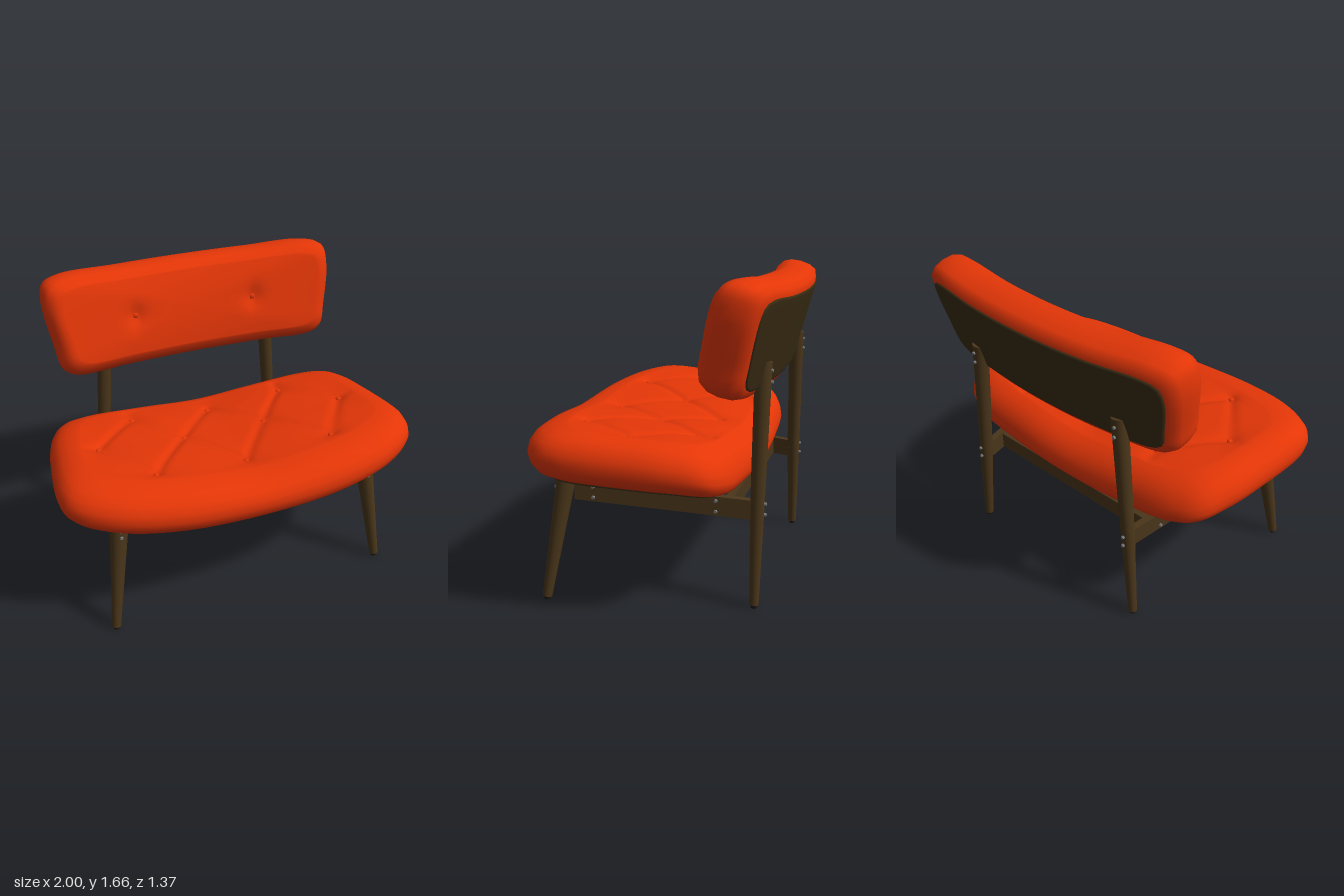
import * as THREE from 'three';
import { mergeVertices } from 'three/addons/utils/BufferGeometryUtils.js';

const material = (color) => new THREE.MeshStandardMaterial({ color });
const red = material(0xe43607), wood = material(0x4a361a), shellWood = material(0x3a2c14);
const steel = material(0x777777), cloth = material(0xb0a8a4), rubber = material(0x1c1812);
const V = (x, y, z) => new THREE.Vector3(x, y, z);

// Closed, left-right symmetric outline from points of its +x half
function outline(half, n) {
  const mirrored = half.slice(1, -1).reverse().map(([x, y]) => [-x, y]);
  const pts = [...half, ...mirrored].map(([x, y]) => V(x, y, 0));
  return new THREE.CatmullRomCurve3(pts, true, 'centripetal').getSpacedPoints(n).slice(0, n);
}

// Padded or flat slab: rings of the outline follow a rim of [inset, height],
// closed by caps; place(a, b, h, w) bends it, w = 1 well inside the upper cap
function slab(half, { size, rim, low, high, n = 96, capRings = 8 }, place) {
  const line = outline(half, n), rings = [], pos = [], idx = [];
  const add = ([d, h], k, w) => rings.push({ sx: (1 - d / size[0]) * k, sy: (1 - d / size[1]) * k, h, w });
  const first = rim[0], last = rim[rim.length - 1];
  for (let i = 0; i < 6; i++) add([first[0], low + (first[1] - low) * (i / 6) ** 2], i / 6, 0);
  rim.forEach((p) => add(p, 1, 0));
  for (let i = 1; i <= capRings; i++) {
    const t = i / capRings;
    add([last[0], last[1] + (high - last[1]) * (1 - (1 - t) ** 2)], 1 - t, Math.min(1, t * 8));
  }
  for (const r of rings) for (const p of line) pos.push(...place(p.x * r.sx, p.y * r.sy, r.h, r.w));
  for (let i = 0; i < rings.length - 1; i++) {
    for (let j = 0; j < n; j++) {
      const a = i * n + j, b = i * n + (j + 1) % n;
      idx.push(a, b, a + n, b, b + n, a + n);
    }
  }
  const g = new THREE.BufferGeometry();
  g.setAttribute('position', new THREE.Float32BufferAttribute(pos, 3));
  g.setIndex(idx);
  const merged = mergeVertices(g, 1e-5);
  merged.computeVertexNormals();
  return merged;
}

// Tuft buttons of the seat, row by row, and the diamond pleats joining them
const rows = [[-0.46, 0, 0.46], [-0.72, -0.24, 0.24, 0.72], [-0.5, 0, 0.5]];
const rowZ = [-0.21, 0.065, 0.385];
const tufts = rows.flatMap((r, k) => r.map((x) => [x, rowZ[k]]));
const pleats = [];
for (const k of [0, 2]) {
  rows[k].forEach((x, i) => {
    for (const j of [i, i + 1]) pleats.push([x, rowZ[k], rows[1][j], rowZ[1]]);
  });
}
for (const s of [-1, 1]) pleats.push([s * 0.46, -0.21, s * 0.47, -0.36], [s * 0.72, 0.065, s * 0.94, 0.03]);

function segmentDistance(x, z, [ax, az, bx, bz]) {
  const dx = bx - ax, dz = bz - az;
  const t = THREE.MathUtils.clamp(((x - ax) * dx + (z - az) * dz) / (dx * dx + dz * dz), 0, 1);
  return Math.hypot(x - ax - t * dx, z - az - t * dz);
}
const dip = (d, width) => Math.exp(-((d / width) ** 2));
function seatDent(x, z) {
  const crease = Math.min(...pleats.map((p) => segmentDistance(x, z, p)));
  const tuft = Math.min(...tufts.map(([a, b]) => Math.hypot(x - a, z - b)));
  return 0.012 * dip(crease, 0.025) + 0.02 * Math.exp(-tuft / 0.07);
}

// Dished seat surface dropping towards the back, thinner along its middle
const seatMid = (x, z) => 0.725 + 0.07 * z + 0.075 * x * x - 0.35 * Math.max(0, -0.15 - z) ** 2;
const seatPlace = (x, z, h, w) => {
  const depth = h < 0 ? h * (1 + 0.2 * z) : h * (1 - 0.15 * dip(x, 0.25));
  return [x, seatMid(x, z) + depth - (w ? w * seatDent(x, z) : 0), z];
};

// Backrest plane: leaning back, with the ends curving forward
const LEAN = 0.262, C = Math.cos(LEAN), S = Math.sin(LEAN);
const backDent = (x, v) => {
  const dx = Math.abs(x) - 0.35;
  return 0.018 * dip(Math.hypot(dx, v), 0.06) + 0.01 * dip(dx, 0.02) * dip(v, 0.08);
};
const backPlace = (x, v, h, w) => {
  const d = h - w * backDent(x, v);
  return [x, 1.372 + v * C + d * S, -0.505 - v * S + d * C + 0.128 * x * x];
};

export function createModel() {
  const model = new THREE.Group();
  const add = (name, geometry, mat, position) => {
    const mesh = new THREE.Mesh(geometry, mat);
    mesh.name = name;
    if (position) mesh.position.copy(position);
    model.add(mesh);
    return mesh;
  };
  // Round bar from a to b
  const rod = (name, a, b, ra, rb, mat, sides = 20) => {
    const dir = b.clone().sub(a);
    const mesh = add(name, new THREE.CylinderGeometry(rb, ra, dir.length(), sides), mat, a.clone().lerp(b, 0.5));
    mesh.quaternion.setFromUnitVectors(V(0, 1, 0), dir.normalize());
  };
  // Flat rail from a to b
  const rail = (name, a, b, height, thick) => {
    const mesh = add(name, new THREE.BoxGeometry(thick, height, a.distanceTo(b)), wood, a.clone().lerp(b, 0.5));
    mesh.lookAt(b);
  };
  const button = (name, p, r) => add(name, new THREE.SphereGeometry(r, 10, 8), red, V(...p)).scale;

  // Seat cushion and the shell beneath it
  const seatHalf = [[0, 0.687], [0.5, 0.66], [0.78, 0.585], [0.95, 0.47], [0.997, 0.36], [0.972, 0],
    [0.935, -0.2], [0.865, -0.36], [0.73, -0.43], [0.4, -0.46], [0, -0.47]];
  const seatTop = 0.14;
  add('seatCushion', slab(seatHalf, {
    size: [1, 0.58], low: -0.11, high: seatTop, n: 200, capRings: 40,
    rim: [[0.08, -0.108], [0.035, -0.09], [0.01, -0.058], [0, -0.018], [0.008, 0.025], [0.03, 0.066],
      [0.065, 0.098], [0.11, 0.12], [0.16, 0.132]],
  }, seatPlace), red);
  const edge = (inset, a, b) => [[inset + 0.012, a], [inset, a + 0.003], [inset, b - 0.003], [inset + 0.012, b]];
  add('seatShell', slab(seatHalf, {
    size: [1, 0.58], low: -0.121, high: -0.095, rim: edge(0.085, -0.119, -0.095),
  }, seatPlace), shellWood);
  add('underseatPanel', new THREE.BoxGeometry(0.62, 0.012, 0.36), cloth, V(0, 0.603, 0)).rotation.x = -0.045;
  for (const [x, z] of tufts) button('seatButton', seatPlace(x, z, seatTop, 1), 0.016).set(1, 0.6, 1);

  // Backrest cushion with its rear board set almost flush
  const backHalf = [[0, -0.287], [0.4, -0.283], [0.72, -0.268], [0.785, -0.22], [0.81, -0.1],
    [0.843, 0.16], [0.82, 0.258], [0.73, 0.288], [0.4, 0.278], [0, 0.275]];
  add('backCushion', slab(backHalf, {
    size: [0.84, 0.28], low: -0.12, high: 0.138, n: 160, capRings: 24,
    rim: [[0.06, -0.121], [0.022, -0.108], [0.005, -0.07], [0, -0.01], [0.006, 0.045], [0.026, 0.088], [0.065, 0.118]],
  }, backPlace), red);
  add('backBoard', slab(backHalf, {
    size: [0.84, 0.28], low: -0.128, high: -0.1, rim: edge(0.058, -0.128, -0.1),
  }, backPlace), shellWood);
  for (const x of [-0.35, 0.35]) button('backButton', backPlace(x, 0, 0.136, 1), 0.016).set(1, 1, 0.6);

  for (const s of [-1, 1]) {
    // Splayed tapered legs with glides
    const frontFoot = V(s * 0.803, 0.018, 0.5), rearFoot = V(s * 0.595, 0.018, -0.545);
    rod('frontLeg', frontFoot, V(s * 0.717, 0.66, 0.405), 0.025, 0.05, wood);
    const knee = V(s * 0.556, 0.52, -0.543);
    rod('rearLegLower', rearFoot, knee, 0.024, 0.036, wood);
    rod('rearLegUpper', knee, V(s * 0.5, 1.25, -0.547), 0.036, 0.043, wood);
    for (const f of [frontFoot, rearFoot]) {
      add('glide', new THREE.CylinderGeometry(0.018, 0.016, 0.02, 12), rubber, V(f.x, 0.01, f.z));
    }
    // Side rails sloping back between the legs
    const railAt = (t) => V(s * (0.695 - 0.14 * t), 0.578 - 0.065 * t, 0.37 - 0.89 * t);
    rail('sideRail', railAt(0), railAt(1), 0.1, 0.04);
    // Screw heads
    const screw = (x, y, z, dir) => rod('screw', V(x, y, z), V(x, y, z).addScaledVector(dir, 0.012), 0.01, 0.008, steel, 10);
    const out = V(s, 0, 0), front = V(0, 0, 1), back = V(0, 0, -1);
    for (const dy of [-0.028, 0.028]) {
      for (const t of [0.11, 0.8]) {
        const p = railAt(t);
        screw(p.x + s * 0.018, p.y + dy, p.z, out);
      }
      screw(s * 0.724, 0.61 + dy * 0.7, 0.453 - dy * 0.15, front);
      screw(s * 0.556, 0.518 + dy, -0.578, back);
      screw(s * 0.506, 1.18 + dy, -0.586, back);
    }
  }

  // Cross rails joining the side rails
  rail('frontCrossRail', V(-0.69, 0.578, 0.33), V(0.69, 0.578, 0.33), 0.085, 0.04);
  rail('rearCrossRail', V(-0.575, 0.518, -0.4), V(0.575, 0.518, -0.4), 0.09, 0.04);
  return model;
}
